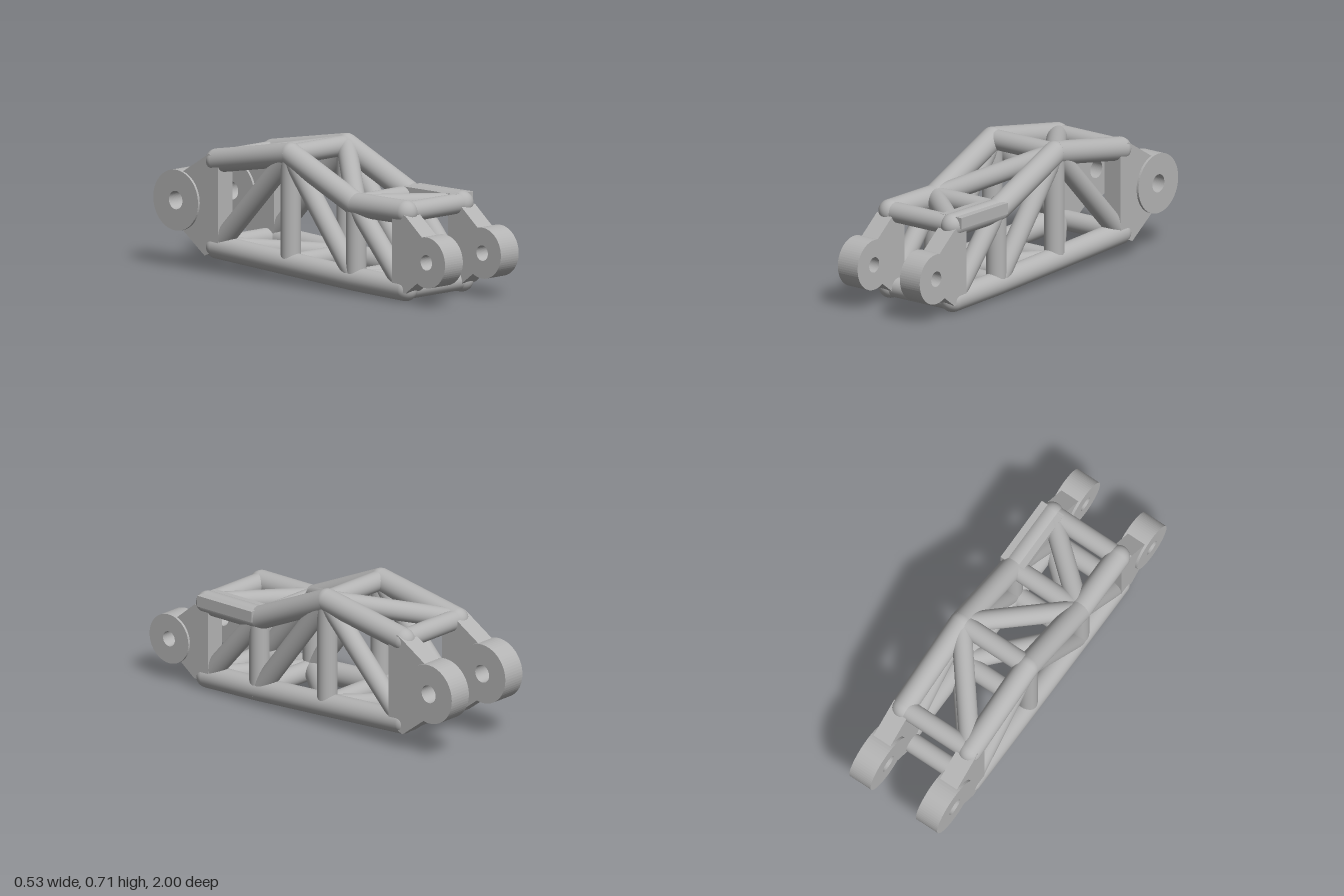
import * as THREE from 'three';

export function createModel() {
  const model = new THREE.Group();
  model.name = 'trussArm';
  const steel = new THREE.MeshStandardMaterial({ color: 0xb4b4b4 });
  steel.name = 'grey steel';

  const CHORD = 0.06, BRACE = 0.051;
  const sides = [-0.204, 0.197];

  // Side outline of the frame as [z, y], from front to rear
  const top = [[0.67, 0.448], [0.33, 0.448], [-0.118, 0.647], [-0.62, 0.56]];
  const bottom = [[0.67, 0.062], [0.33, 0.073], [-0.118, 0.098], [-0.62, 0.127]];

  const node = (side, [z, y]) => new THREE.Vector3(sides[side], y, z);

  function add(geometry, name) {
    const mesh = new THREE.Mesh(geometry, steel);
    mesh.name = name;
    model.add(mesh);
    return mesh;
  }

  function tube(a, b, radius, name) {
    const dir = b.clone().sub(a);
    const mesh = add(new THREE.CylinderGeometry(radius, radius, dir.length(), 32), name);
    mesh.position.copy(a).add(b).multiplyScalar(0.5);
    mesh.quaternion.setFromUnitVectors(new THREE.Vector3(0, 1, 0), dir.normalize());
  }

  // Extrudes a [z, y] shape along x, centred on x
  function sidePlate(shape, x, width, name) {
    const g = new THREE.ExtrudeGeometry(shape, { depth: width, bevelEnabled: false, curveSegments: 32 });
    g.translate(0, 0, -width / 2);
    g.rotateY(-Math.PI / 2); // shape x becomes z
    const mesh = add(g, name);
    mesh.position.x = x;
  }

  const lugs = [
    {
      name: 'front', z: 0.872, y: 0.225, r: 0.128, hole: 0.039,
      web: [[0.624, 0.06], [0.715, 0.05], [0.8, 0.113], [0.82, 0.225], [0.83, 0.345], [0.715, 0.44], [0.624, 0.45]],
    },
    {
      name: 'rear', z: -0.845, y: 0.342, r: 0.153, hole: 0.046,
      web: [[-0.567, 0.12], [-0.66, 0.083], [-0.81, 0.195], [-0.785, 0.342], [-0.81, 0.488], [-0.63, 0.598], [-0.567, 0.57]],
    },
  ];

  sides.forEach((x, s) => {
    // Long rails with round joints
    for (const [rail, name] of [[top, 'topRail'], [bottom, 'bottomRail']]) {
      rail.forEach((p, i) => {
        add(new THREE.SphereGeometry(CHORD, 32, 20), name + 'Joint').position.copy(node(s, p));
        if (i) tube(node(s, rail[i - 1]), node(s, p), CHORD, name);
      });
    }

    // Uprights and diagonals of the side truss
    for (const i of [1, 2]) tube(node(s, bottom[i]), node(s, top[i]), BRACE, 'upright');
    tube(node(s, bottom[0]), node(s, top[1]), BRACE, 'sideDiagonal');
    tube(node(s, bottom[1]), node(s, top[2]), BRACE, 'sideDiagonal');
    tube(node(s, top[2]), node(s, bottom[3]), BRACE, 'sideDiagonal');

    // Mounting webs and bored bosses at both ends
    for (const lug of lugs) {
      const web = new THREE.Shape(lug.web.map(([z, y]) => new THREE.Vector2(z, y)));
      sidePlate(web, x, 0.102, lug.name + 'Web');
      const ring = new THREE.Shape().absarc(lug.z, lug.y, lug.r, 0, Math.PI * 2);
      ring.holes.push(new THREE.Path().absarc(lug.z, lug.y, lug.hole, 0, Math.PI * 2, true));
      sidePlate(ring, x, 0.128, lug.name + 'Boss');
    }
  });

  // Cross tubes and zigzag bracing between the two sides
  for (const [rail, name] of [[top, 'top'], [bottom, 'bottom']]) {
    rail.forEach((p, i) => {
      tube(node(0, p), node(1, p), BRACE, name + 'CrossTube');
      if (i) tube(node(i % 2, rail[i - 1]), node(1 - (i % 2), p), BRACE, name + 'Diagonal');
    });
  }

  // Flat pad set into the left front top rail
  add(new THREE.BoxGeometry(0.133, 0.057, 0.36), 'railPad').position.set(0.198, 0.47, 0.503);

  return model;
}
